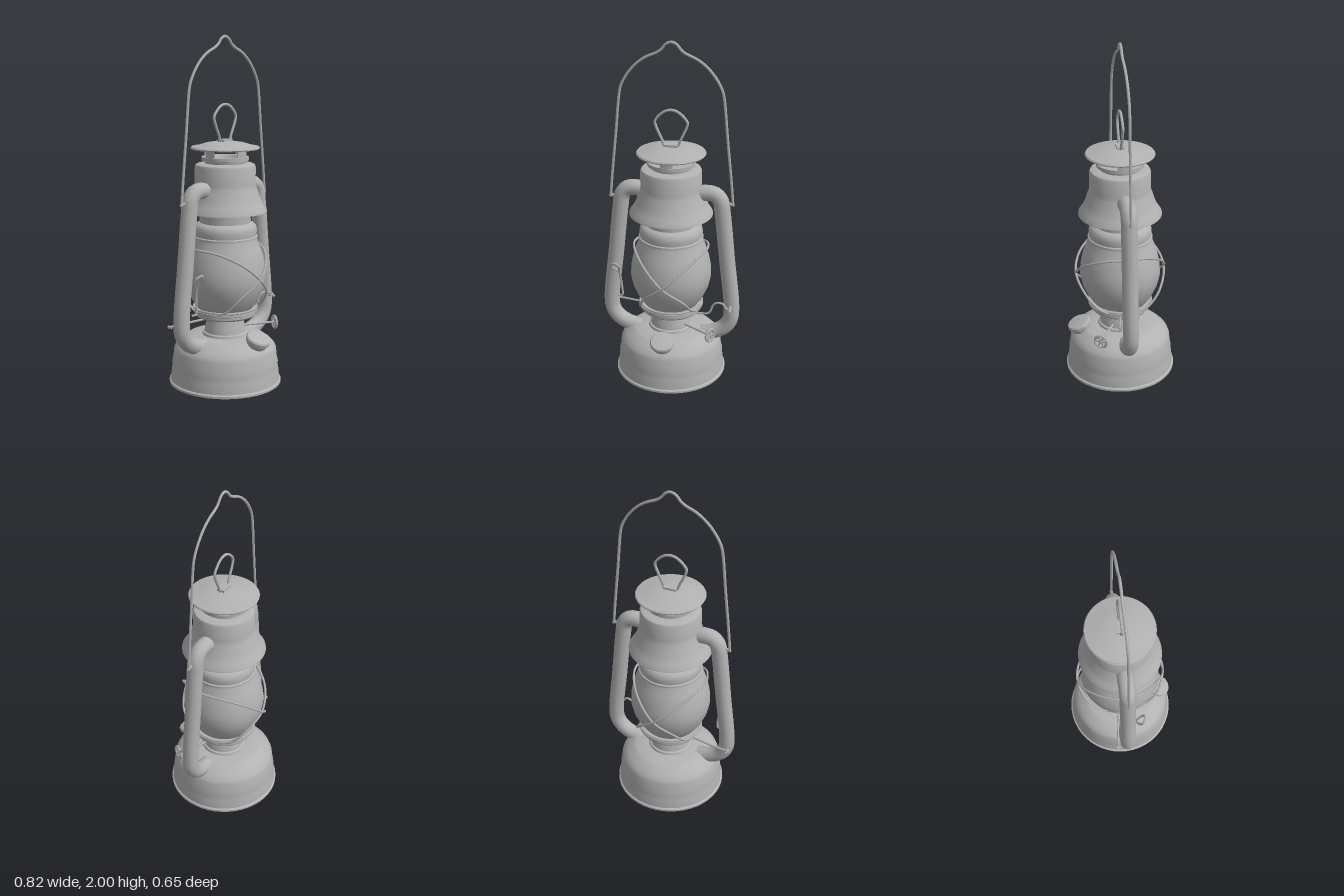
import * as THREE from 'three';
import { toCreasedNormals } from 'three/addons/utils/BufferGeometryUtils.js';

export function createModel() {
  const lantern = new THREE.Group();
  lantern.name = 'lantern';
  const metal = new THREE.MeshStandardMaterial({ color: 0xb2b2b2, side: THREE.DoubleSide });
  metal.name = 'grey metal';

  const add = (name, geometry, parent = lantern) => {
    const mesh = new THREE.Mesh(geometry, metal);
    mesh.name = name;
    parent.add(mesh);
    return mesh;
  };
  // Turned part from [radius, height] pairs
  const turned = (name, profile, parent) => add(name, toCreasedNormals(
    new THREE.LatheGeometry(profile.map(([r, y]) => new THREE.Vector2(r, y)), 48), 0.6), parent);
  // Round bar along a smooth path
  const bar = (name, pts, r, { closed = false, sides = 6, steps = 64, parent } = {}) => {
    const path = new THREE.CatmullRomCurve3(pts.map(p => new THREE.Vector3(...p)), closed, 'centripetal');
    return add(name, new THREE.TubeGeometry(path, steps, r, sides, closed), parent);
  };
  const mirrored = (pts, s) => pts.map(([x, y, z]) => [x * s, y, z]);

  // Fuel tank
  turned('fuelTank', [[0, 0.01], [0.315, 0.01], [0.318, 0], [0.327, 0.003], [0.327, 0.015], [0.318, 0.022],
    [0.313, 0.08], [0.308, 0.105], [0.31, 0.125], [0.303, 0.15], [0.299, 0.2], [0.29, 0.222],
    [0.265, 0.247], [0.225, 0.275], [0.215, 0.28], [0.13, 0.288], [0, 0.29]]);

  // Burner and globe seat
  turned('burner', [[0.135, 0.28], [0.13, 0.3], [0.12, 0.305], [0.115, 0.34], [0.1, 0.385], [0.098, 0.42]]);
  turned('globeSeat', [[0.09, 0.4], [0.17, 0.4], [0.178, 0.41], [0.178, 0.425], [0.19, 0.43],
    [0.19, 0.443], [0.165, 0.446], [0.1, 0.446]]);

  // Globe
  turned('globe', [[0.155, 0.44], [0.172, 0.463], [0.195, 0.5], [0.222, 0.56], [0.235, 0.62], [0.233, 0.68],
    [0.22, 0.745], [0.203, 0.8], [0.186, 0.84], [0.182, 0.86]]);

  // Collar and chimney
  turned('globeCollar', [[0.17, 0.855], [0.187, 0.857], [0.187, 0.868], [0.18, 0.873], [0.183, 0.9],
    [0.178, 0.925], [0.165, 0.94], [0.147, 0.948]]);
  turned('chimney', [[0.147, 0.945], [0.145, 1.27]]);

  // Flared hood
  turned('hood', [[0.232, 1.018], [0.24, 1.01], [0.238, 1.02], [0.218, 1.048], [0.2, 1.085], [0.188, 1.125],
    [0.178, 1.15], [0.174, 1.17], [0.174, 1.265], [0.168, 1.278], [0.155, 1.284], [0.115, 1.286]]);

  // Vented crown: lower ring, four posts and a cap
  turned('crownRing', [[0.115, 1.284], [0.118, 1.3], [0.134, 1.302], [0.134, 1.322], [0.11, 1.322], [0.1, 1.3], [0, 1.295]]);
  for (let i = 0; i < 4; i++) {
    add('crownPost', new THREE.CylinderGeometry(0.132, 0.132, 0.07, 6, 1, true, i * Math.PI / 2 - 0.265, 0.53))
      .position.y = 1.347;
  }
  turned('crownCap', [[0, 1.368], [0.135, 1.37], [0.175, 1.368], [0.194, 1.366], [0.197, 1.372], [0.192, 1.379],
    [0.16, 1.385], [0.11, 1.4], [0.06, 1.408], [0, 1.41]]);
  add('loopBracket', new THREE.BoxGeometry(0.075, 0.016, 0.045)).position.y = 1.413;
  bar('liftingLoop', [[0.037, 1.41, 0], [0.05, 1.44, 0], [0.088, 1.525, 0], [0.092, 1.55, 0], [0.055, 1.595, 0],
    [0.02, 1.614, 0], [-0.02, 1.614, 0], [-0.055, 1.595, 0], [-0.092, 1.55, 0], [-0.088, 1.525, 0],
    [-0.05, 1.44, 0], [-0.037, 1.41, 0]], 0.008, { closed: true });

  // Side air tubes, bail ears and globe guard wires
  const tubePath = [[0.15, 1.14, 0], [0.21, 1.148, 0], [0.255, 1.14, 0], [0.285, 1.105, 0], [0.298, 1.03, 0],
    [0.33, 0.74, 0], [0.363, 0.44, 0], [0.358, 0.36, 0], [0.325, 0.305, 0], [0.27, 0.27, 0], [0.19, 0.248, 0]];
  const guardPath = [[-0.165, 0.445, 0.1], [-0.15, 0.47, 0.15], [-0.115, 0.545, 0.215], [0, 0.645, 0.262],
    [0.1, 0.735, 0.222], [0.185, 0.797, 0.115], [0.217, 0.81, 0], [0.185, 0.797, -0.115], [0.1, 0.735, -0.222],
    [0, 0.645, -0.262], [-0.115, 0.545, -0.215], [-0.15, 0.47, -0.15], [-0.165, 0.445, -0.1]];
  for (const s of [1, -1]) {
    bar('airTube', mirrored(tubePath, s), 0.046, { sides: 14 });
    bar('globeGuard', mirrored(guardPath, s), 0.007);
    bar('bailEar', mirrored([[0.29, 1.09, 0], [0.325, 1.092, 0], [0.362, 1.085, 0]], s), 0.009, { steps: 6 });
  }
  const guardRing = add('guardRing', new THREE.TorusGeometry(0.183, 0.007, 6, 48));
  guardRing.rotation.x = Math.PI / 2;
  guardRing.position.y = 0.45;

  // Carrying bail
  const half = [[0.356, 1.08, 0], [0.345, 1.2, 0], [0.317, 1.46, 0], [0.29, 1.71, 0], [0.278, 1.75, 0],
    [0.24, 1.815, 0], [0.19, 1.87, 0], [0.14, 1.905, 0], [0.08, 1.932, 0], [0.055, 1.95, 0], [0.03, 1.98, 0]];
  bar('bail', [...mirrored(half, -1), [0, 1.992, 0], ...half.slice().reverse()], 0.008, { steps: 120 });

  // Globe lifting lever
  bar('lever', [[-0.4, 0.395, -0.066], [-0.3, 0.395, -0.055], [0, 0.395, 0], [0.2, 0.395, 0.035], [0.235, 0.405, 0.04],
    [0.265, 0.468, 0.045], [0.29, 0.483, 0.05], [0.32, 0.482, 0.055], [0.342, 0.455, 0.06], [0.37, 0.455, 0.062]], 0.007);
  bar('leverTip', [[0.362, 0.468, 0.05], [0.364, 0.445, 0.075]], 0.008, { steps: 2 });
  bar('leverStop', [[-0.392, 0.395, -0.077], [-0.39, 0.395, -0.052]], 0.008, { steps: 2 });

  // Wire catch beside the right-hand air tube
  bar('wireCatch', [[-0.315, 0.465, 0.035], [-0.29, 0.465, 0.04], [-0.292, 0.56, 0.045], [-0.298, 0.63, 0.06],
    [-0.293, 0.68, 0.095], [-0.31, 0.7, 0.105], [-0.34, 0.685, 0.092], [-0.338, 0.66, 0.075],
    [-0.308, 0.63, 0.05]], 0.007);

  // Wick winder: stem, ring and spokes
  const winder = new THREE.Group();
  winder.name = 'wickWinder';
  winder.position.set(0.265, 0.325, 0.157);
  winder.rotation.y = Math.atan2(0.86, 0.5);
  lantern.add(winder);
  add('winderRing', new THREE.TorusGeometry(0.036, 0.008, 6, 24), winder);
  for (const a of [0, Math.PI / 3, -Math.PI / 3]) {
    add('winderSpoke', new THREE.BoxGeometry(0.07, 0.009, 0.006), winder).rotation.z = a;
  }
  const stem = add('winderStem', new THREE.CylinderGeometry(0.007, 0.007, 0.22, 8), winder);
  stem.rotation.x = Math.PI / 2;
  stem.position.z = -0.1;

  // Tilted filler cap
  const filler = new THREE.Group();
  filler.name = 'fillerCap';
  filler.position.set(0, 0.292, 0.247);
  filler.rotation.x = 0.4;
  lantern.add(filler);
  turned('fillerNeck', [[0.045, -0.07], [0.047, -0.045], [0.058, -0.03], [0.06, -0.01]], filler);
  turned('fillerLid', [[0, -0.01], [0.064, -0.01], [0.07, -0.004], [0.07, 0.012], [0.064, 0.02], [0.03, 0.024], [0, 0.024]], filler);

  return lantern;
}
